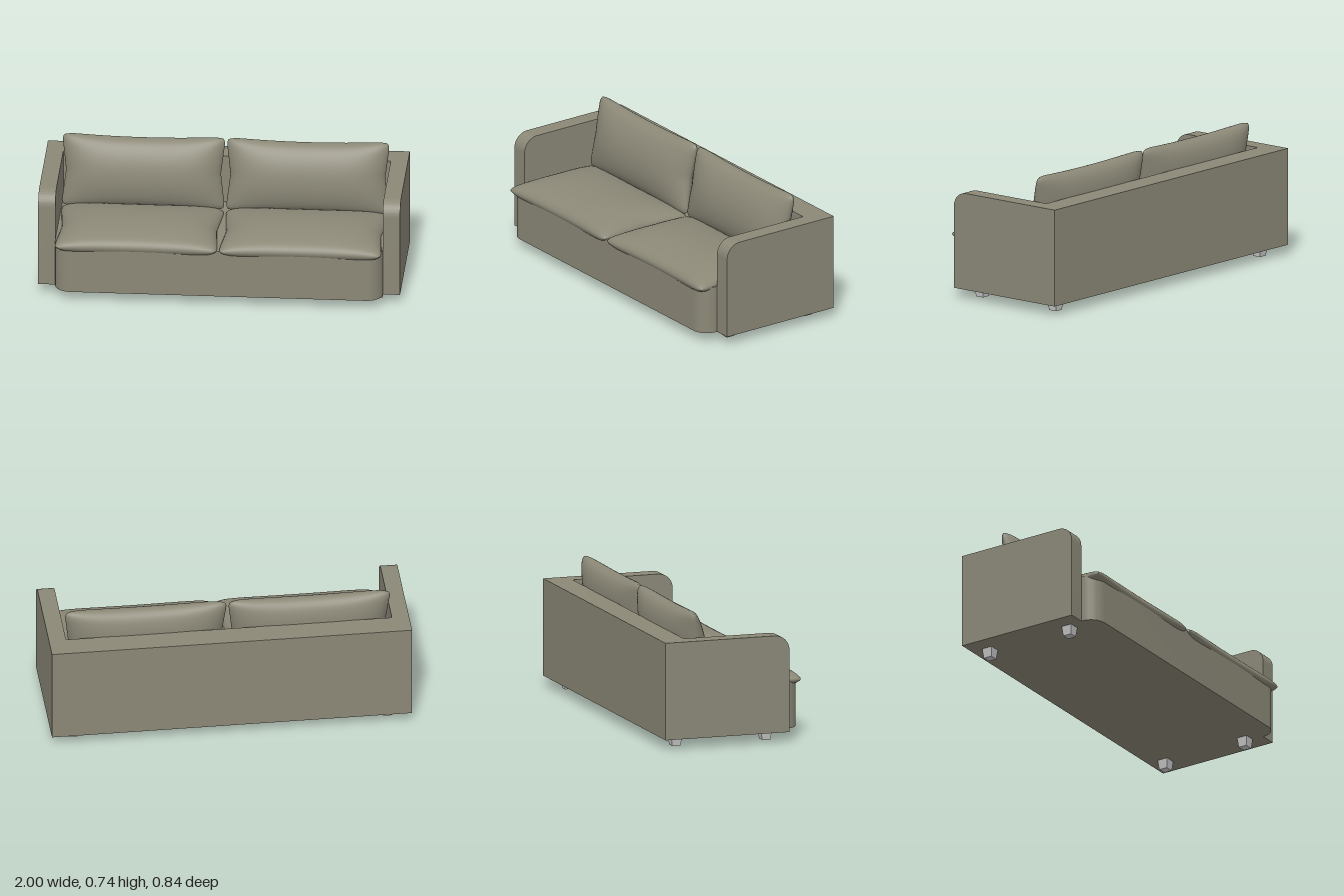
import * as THREE from 'three';
import { mergeGeometries, mergeVertices, toCreasedNormals } from 'three/addons/utils/BufferGeometryUtils.js';

const fabric = new THREE.MeshStandardMaterial({ name: 'olive grey fabric', color: 0x8b8877 });
const metal = new THREE.MeshStandardMaterial({ name: 'light grey legs', color: 0xc6c6c6 });

const FLOOR = 0.055, TOP = 0.6, INNER = 0.905, BACK = -0.42, BACK_FRONT = -0.28;

function extrude(shape, depth) {
  const g = new THREE.ExtrudeGeometry(shape, { depth, bevelEnabled: false, curveSegments: 12 });
  return toCreasedNormals(g, 0.6);
}

// Stuffed pillow: two sheets joined at the rim, with plump middle and pinched sides
function pillow(halfW, halfH, halfT, rim = 0.03) {
  const n = 32;
  const front = new THREE.PlaneGeometry(2, 2, n, n);
  const back = front.clone().rotateY(Math.PI);
  const g = mergeGeometries([front, back]);
  const p = g.attributes.position, normal = g.attributes.normal;
  for (let i = 0; i < p.count; i++) {
    const u = Math.sin(p.getX(i) * Math.PI / 2), v = Math.sin(p.getY(i) * Math.PI / 2);
    const rimPart = Math.sqrt(Math.max(0, (1 - u ** 12) * (1 - v ** 12)));
    const bulge = Math.max(0, (1 - u ** 4) * (1 - v * v)) ** 0.85;
    const h = rim * rimPart + (halfT - rim) * bulge;
    const x = halfW * u - Math.sign(u) * u * u * (0.024 * (1 - Math.abs(v)) + 0.014 * v ** 16);
    const y = halfH * v - Math.sign(v) * v * v * (0.02 * (1 - u * u) ** 0.7 + 0.014 * u ** 16);
    p.setXYZ(i, x, y, Math.sign(normal.getZ(i)) * h);
  }
  g.deleteAttribute('normal');
  g.deleteAttribute('uv');
  const merged = mergeVertices(g, 1e-5);
  merged.computeVertexNormals();
  return merged;
}

export function createModel() {
  const sofa = new THREE.Group();
  sofa.name = 'sofa';
  const add = (name, geometry, material, x = 0, y = 0, z = 0) => {
    const m = new THREE.Mesh(geometry, material);
    m.name = name;
    m.position.set(x, y, z);
    sofa.add(m);
    return m;
  };

  // Arm profile in z and y, with a rounded front top corner
  const front = 0.305, r = 0.085;
  const arm = new THREE.Shape();
  arm.moveTo(BACK, FLOOR);
  arm.lineTo(front, FLOOR);
  arm.lineTo(front, TOP - r);
  arm.absarc(front - r, TOP - r, r, 0, Math.PI / 2, false);
  arm.lineTo(BACK, TOP);
  arm.closePath();
  const armGeo = extrude(arm, 1 - INNER).rotateY(-Math.PI / 2);
  add('leftArm', armGeo, fabric, 1);
  add('rightArm', armGeo, fabric, -INNER);

  // Backrest between the arms
  add('backrest', new THREE.BoxGeometry(2 * INNER, TOP - FLOOR, BACK_FRONT - BACK), fabric,
    0, (TOP + FLOOR) / 2, (BACK + BACK_FRONT) / 2);

  // Seat base, rounded at its front corners in plan
  const b = 0.09, f = 0.4;
  const plan = new THREE.Shape();
  plan.moveTo(INNER, -BACK_FRONT);
  plan.lineTo(-INNER, -BACK_FRONT);
  plan.lineTo(-INNER, -f + b);
  plan.absarc(-INNER + b, -f + b, b, Math.PI, Math.PI * 1.5, false);
  plan.lineTo(INNER - b, -f);
  plan.absarc(INNER - b, -f + b, b, Math.PI * 1.5, Math.PI * 2, false);
  plan.closePath();
  add('seatBase', extrude(plan, 0.325 - FLOOR).rotateX(-Math.PI / 2), fabric, 0, FLOOR, 0);

  // Cushions, one pair for each side
  const seatGeo = pillow(0.452, 0.295, 0.085).rotateX(-Math.PI / 2);
  const backGeo = pillow(0.452, 0.212, 0.096, 0.028).rotateX(-0.18);
  // Tapered square leg
  const legGeo = new THREE.CylinderGeometry(0.0445, 0.035, FLOOR, 4, 1).toNonIndexed().rotateY(Math.PI / 4);
  legGeo.computeVertexNormals();

  for (const [side, s] of [['left', 1], ['right', -1]]) {
    add(side + 'SeatCushion', seatGeo, fabric, s * 0.454, 0.325, 0.13);
    add(side + 'BackCushion', backGeo, fabric, s * 0.454, 0.537, -0.183);
    add(side + 'FrontLeg', legGeo, metal, s * 0.873, FLOOR / 2, 0.206);
    add(side + 'RearLeg', legGeo, metal, s * 0.873, FLOOR / 2, -0.32);
  }
  return sofa;
}
